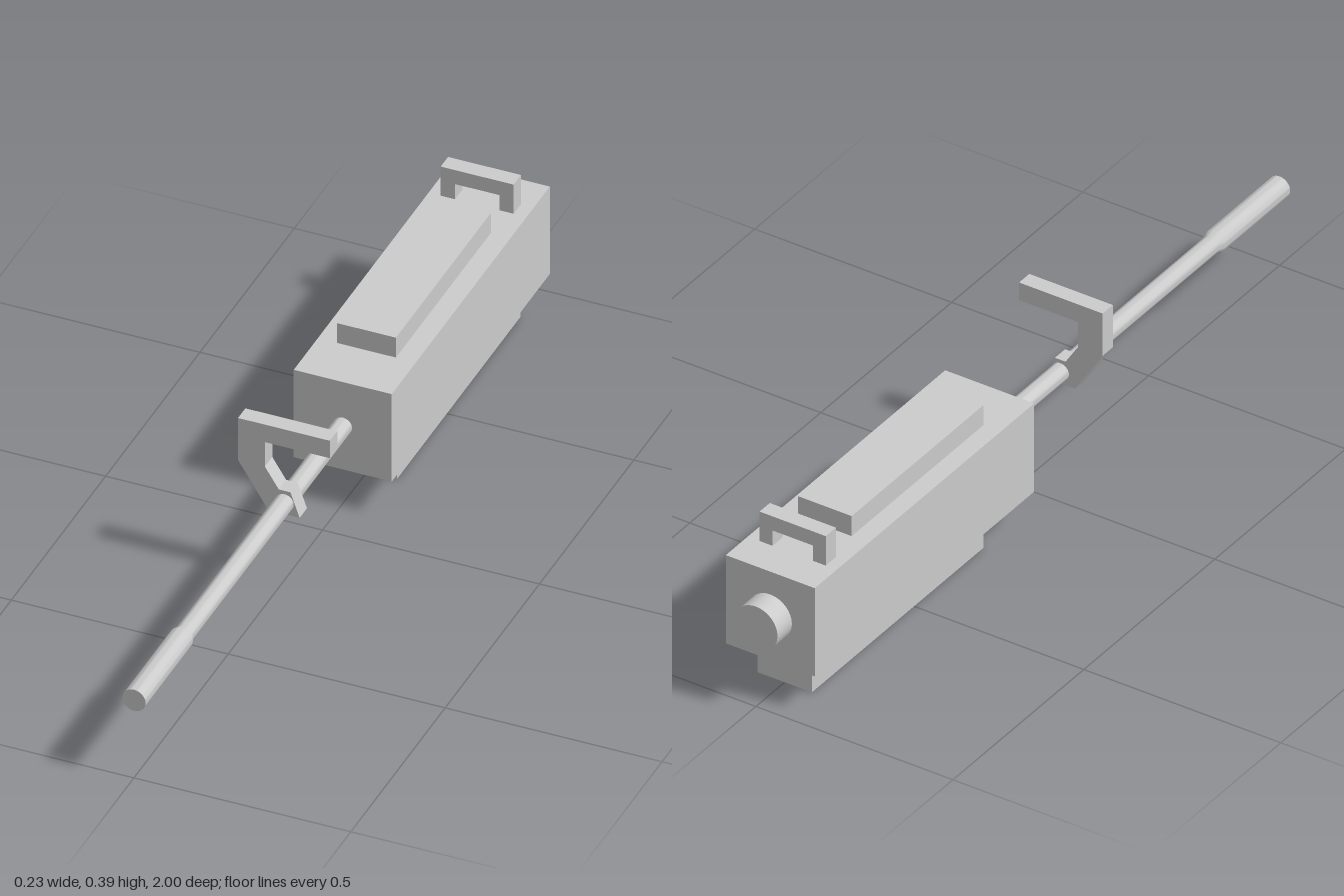
import * as THREE from 'three';
import { toCreasedNormals } from 'three/addons/utils/BufferGeometryUtils.js';

export function createModel() {
  const model = new THREE.Group();
  const material = new THREE.MeshStandardMaterial({ color: 0xcccccc });
  const AXIS_Y = 0.2; // height of the barrel axis

  const add = (name, geometry) => {
    const mesh = new THREE.Mesh(geometry, material);
    mesh.name = name;
    model.add(mesh);
    return mesh;
  };

  // Box given by its limits on each axis
  const box = (name, [x0, x1], [y0, y1], [z0, z1]) =>
    add(name, new THREE.BoxGeometry(x1 - x0, y1 - y0, z1 - z0))
      .position.set((x0 + x1) / 2, (y0 + y1) / 2, (z0 + z1) / 2);

  // Flat outline in x and y, extruded from z0 to z1
  const plate = (name, points, z0, z1) => {
    const shape = new THREE.Shape(points.map(([x, y]) => new THREE.Vector2(x, y)));
    add(name, new THREE.ExtrudeGeometry(shape, { depth: z1 - z0, bevelEnabled: false }))
      .position.z = z0;
  };

  // Turned part along z, from [radius, z] pairs running back to front
  const turned = (name, profile) => {
    const points = profile.map(([r, z]) => new THREE.Vector2(r, z));
    const geometry = new THREE.LatheGeometry(points, 32).rotateX(Math.PI / 2);
    add(name, toCreasedNormals(geometry, 0.5)).position.y = AXIS_Y;
  };

  // Main housing with the blocks below and above it
  box('body', [-0.113, 0.113], [0.088, 0.313], [-0.945, -0.107]);
  box('lowerBlock', [-0.069, 0.069], [0, 0.088], [-0.89, -0.235]);
  box('topPlate', [-0.069, 0.067], [0.313, 0.364], [-0.738, -0.235]);

  // Barrel with a thicker muzzle, and the round cap at the rear
  turned('barrel', [
    [0, -0.12], [0.0215, -0.12], [0.0215, 0.735], [0.027, 0.75], [0.027, 1], [0, 1],
  ]);
  turned('rearCap', [[0, -1], [0.055, -1], [0.055, -0.94], [0, -0.94]]);

  // Arch-shaped rear sight
  plate('rearSight', [
    [-0.085, 0.313], [-0.052, 0.313], [-0.052, 0.352], [0.05, 0.352],
    [0.05, 0.313], [0.083, 0.313], [0.083, 0.388], [-0.085, 0.388],
  ], -0.861, -0.822);

  // Hooked front sight clamped round the barrel
  plate('frontSight', [
    [-0.107, 0.28], [-0.037, 0.17], [0.035, 0.17], [0.014, 0.23], [-0.013, 0.23],
    [-0.045, 0.28], [-0.045, 0.343], [0.105, 0.343], [0.105, 0.388], [-0.107, 0.388],
  ], 0.163, 0.202);

  return model;
}
